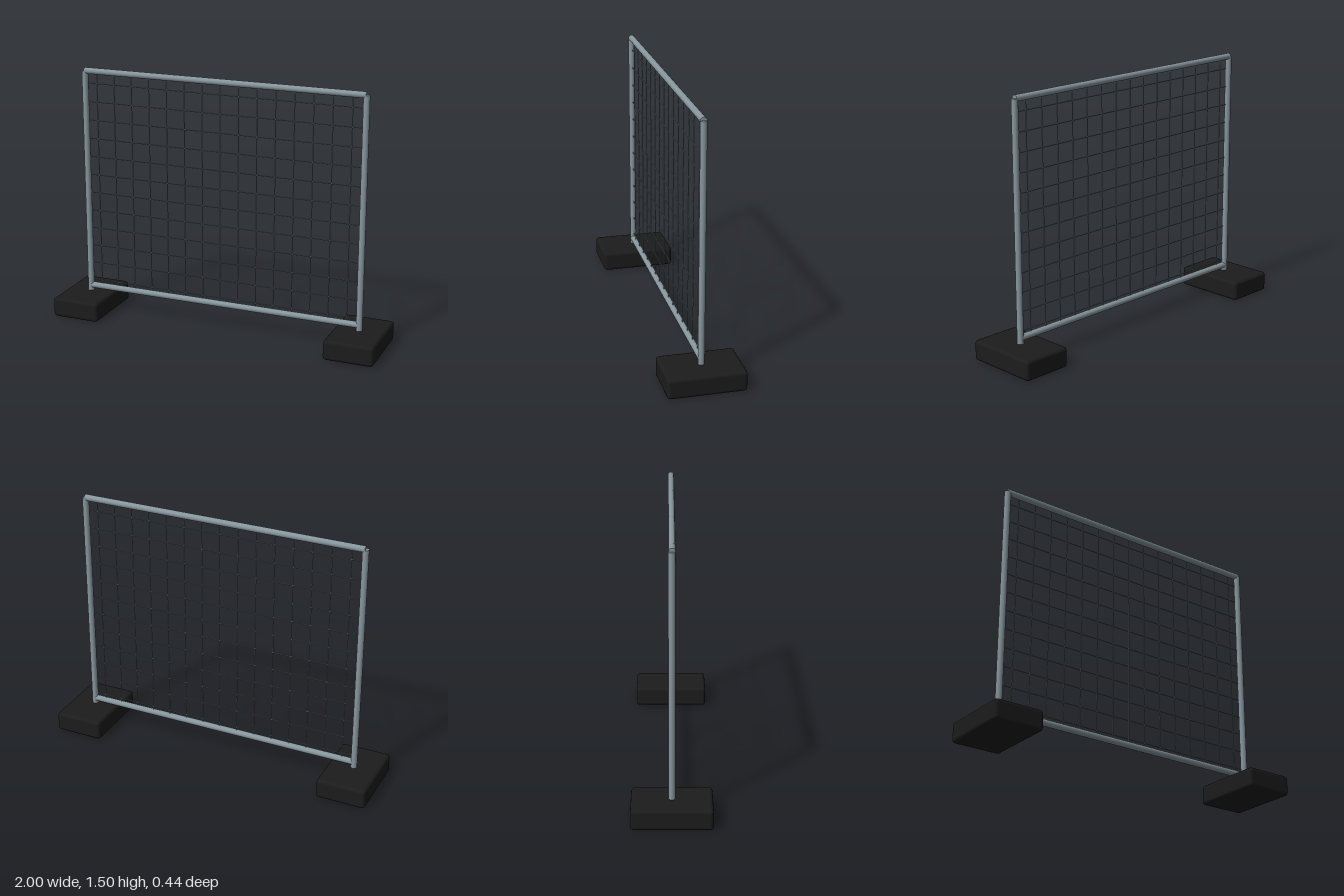
import * as THREE from 'three';
import { RoundedBoxGeometry } from 'three/addons/geometries/RoundedBoxGeometry.js';

const POST_X = 0.853, TOP = 1.482, BOTTOM = 0.151, TUBE_R = 0.019;
const WIRE_R = 0.003, PITCH = 0.111;

export function createModel() {
  const model = new THREE.Group();
  model.name = 'fencePanel';

  const steel = new THREE.MeshStandardMaterial({ name: 'galvanised steel', color: 0x87969d });
  const wire = new THREE.MeshStandardMaterial({ name: 'grey wire', color: 0x76838a });
  const rubber = new THREE.MeshStandardMaterial({ name: 'black rubber', color: 0x1c1c1c });

  // round bar centred on (x, y), upright or lying along x
  const bar = (parent, name, material, radius, length, sides, x, y, lying) => {
    const mesh = new THREE.Mesh(new THREE.CylinderGeometry(radius, radius, length, sides), material);
    mesh.name = name;
    mesh.position.set(x, y, 0);
    if (lying) mesh.rotation.z = Math.PI / 2;
    parent.add(mesh);
  };

  // tube frame
  const frame = new THREE.Group();
  frame.name = 'frame';
  bar(frame, 'topRail', steel, TUBE_R, POST_X * 2, 12, 0, TOP, true);
  bar(frame, 'bottomRail', steel, TUBE_R, POST_X * 2, 12, 0, BOTTOM, true);

  for (const [side, name] of [[1, 'left'], [-1, 'right']]) {
    const base = 0.1;
    bar(frame, name + 'Post', steel, TUBE_R, TOP - base, 12, side * POST_X, (TOP + base) / 2, false);

    // weighted foot block
    const foot = new THREE.Mesh(new RoundedBoxGeometry(0.294, 0.118, 0.44, 2, 0.019), rubber);
    foot.name = name + 'Foot';
    foot.position.set(side * POST_X, 0.059, 0);
    model.add(foot);
  }
  model.add(frame);

  // wire mesh infill
  const mesh = new THREE.Group();
  mesh.name = 'wireMesh';
  for (let i = -7; i <= 7; i++) {
    bar(mesh, 'verticalWire', wire, WIRE_R, 1.29, 6, i * PITCH, 0.812, false);
  }
  for (let i = 0; i < 12; i++) {
    bar(mesh, 'horizontalWire', wire, WIRE_R, 1.66, 6, 0, 0.188 + i * PITCH, true);
  }
  model.add(mesh);

  return model;
}
